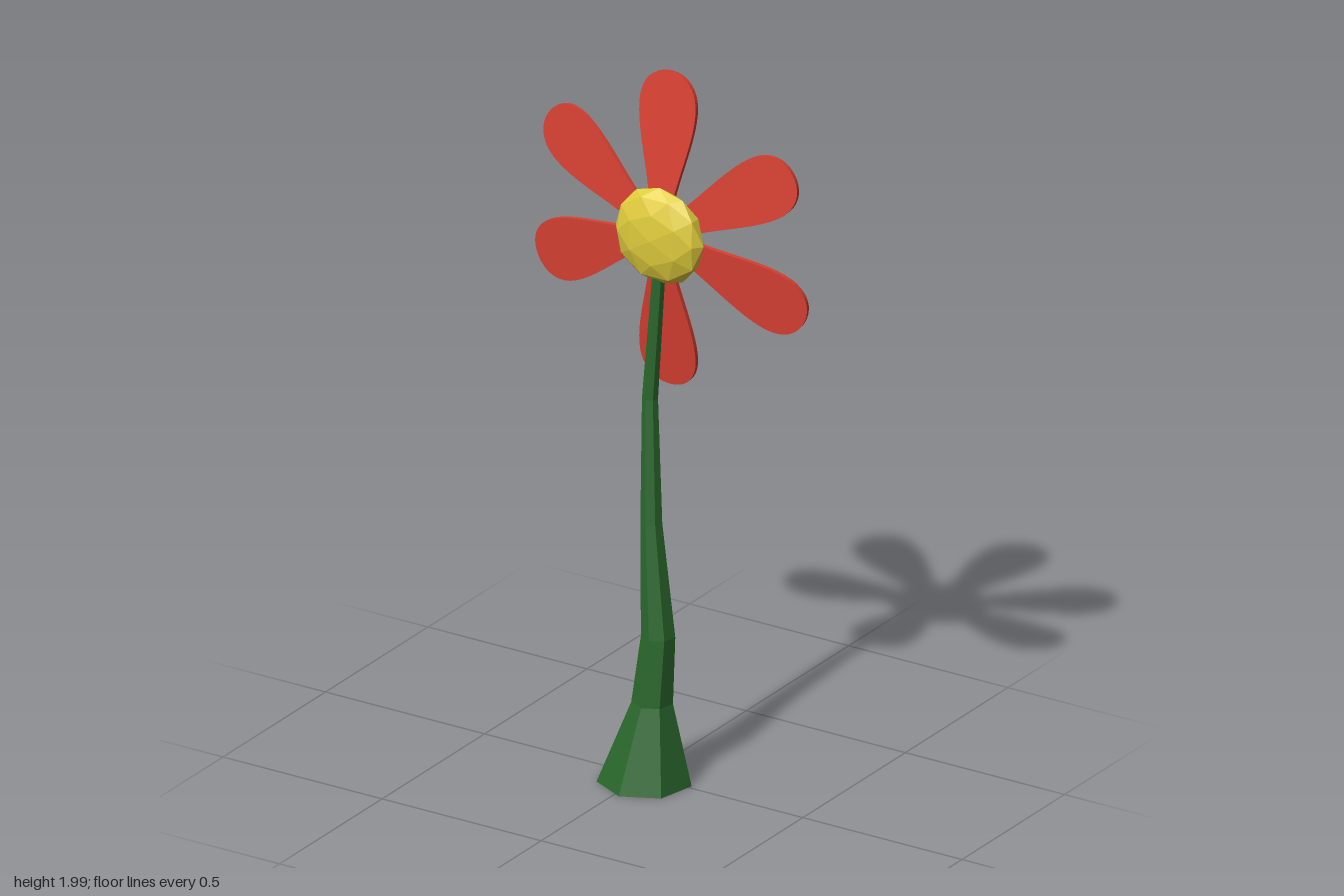
import * as THREE from 'three';

const paint = (color) => new THREE.MeshStandardMaterial({ color, flatShading: true });

// Faceted stem: seven-sided rings following a bent path, capped at both ends
function stemGeometry() {
  const SIDES = 7;
  // height, centre x, centre z, radius
  const rings = [
    [0.01, 0.017, 0.018, 0.13],
    [0.24, 0.036, 0.012, 0.057],
    [0.43, 0.048, 0.002, 0.047],
    [0.74, 0.012, -0.02, 0.03],
    [1.08, -0.015, -0.055, 0.022],
    [1.42, 0.002, -0.069, 0.018],
    [1.53, 0.004, -0.072, 0.017],
  ];
  const pos = [], index = [];
  for (const [y, cx, cz, r] of rings) {
    for (let i = 0; i < SIDES; i++) {
      const a = (i / SIDES) * Math.PI * 2;
      pos.push(cx + Math.sin(a) * r, y, cz + Math.cos(a) * r);
    }
  }
  for (let k = 0; k < rings.length - 1; k++) {
    for (let i = 0; i < SIDES; i++) {
      const a = k * SIDES + i, b = k * SIDES + (i + 1) % SIDES;
      index.push(a, b, b + SIDES, a, b + SIDES, a + SIDES);
    }
  }
  const top = (rings.length - 1) * SIDES;
  for (let i = 1; i < SIDES - 1; i++) {
    index.push(0, i + 1, i, top, top + i, top + i + 1);
  }
  const g = new THREE.BufferGeometry();
  g.setAttribute('position', new THREE.Float32BufferAttribute(pos, 3));
  g.setIndex(index);
  g.computeVertexNormals();
  return g;
}

// Thin teardrop petal pointing up, narrow at the root and round at the tip
function petalGeometry() {
  const s = new THREE.Shape();
  s.moveTo(-0.03, 0.06);
  s.lineTo(0.03, 0.06);
  s.bezierCurveTo(0.045, 0.17, 0.088, 0.27, 0.088, 0.355);
  s.bezierCurveTo(0.088, 0.42, 0.05, 0.455, 0, 0.455);
  s.bezierCurveTo(-0.05, 0.455, -0.088, 0.42, -0.088, 0.355);
  s.bezierCurveTo(-0.088, 0.27, -0.045, 0.17, -0.03, 0.06);
  const g = new THREE.ExtrudeGeometry(s, { depth: 0.012, bevelEnabled: false, curveSegments: 10 });
  return g.translate(0, 0, -0.006);
}

export function createModel() {
  const model = new THREE.Group();
  model.name = 'flower';

  const stem = new THREE.Mesh(stemGeometry(), paint(0x2a672c));
  stem.name = 'stem';
  model.add(stem);

  const head = new THREE.Group();
  head.name = 'flowerHead';
  head.position.set(0, 1.548, -0.07);
  model.add(head);

  // Flattened faceted centre
  const centre = new THREE.Mesh(new THREE.IcosahedronGeometry(0.138, 1), paint(0xe0cc3c));
  centre.name = 'flowerCentre';
  centre.scale.z = 0.37;
  centre.position.x = 0.005;
  head.add(centre);

  // Petals fan around the centre and lean slightly backwards: angle, lean
  const petals = new THREE.Group();
  petals.name = 'petals';
  head.add(petals);
  const shape = petalGeometry(), red = paint(0xd84032);
  [[90, 0.13], [32, 0.14], [-23, 0.16], [-90, 0.13], [203, 0.13], [148, 0.13]].forEach(([deg, lean], i) => {
    const petal = new THREE.Mesh(shape, red);
    petal.name = `petal${i + 1}`;
    petal.position.z = -0.006;
    petal.rotation.set(-lean, 0, THREE.MathUtils.degToRad(deg - 90), 'ZXY');
    petals.add(petal);
  });

  return model;
}
